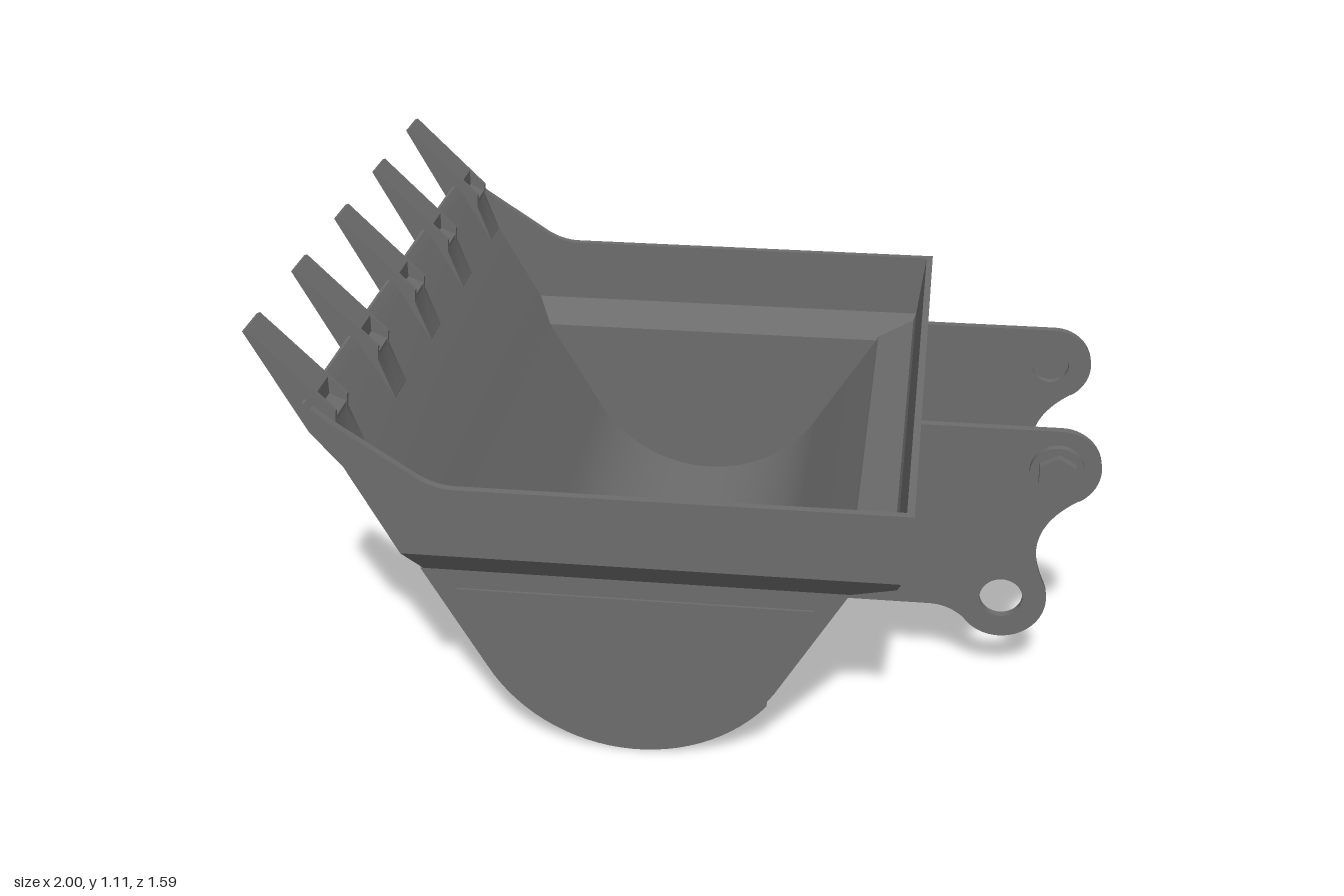
import * as THREE from 'three';
import { toCreasedNormals } from 'three/addons/utils/BufferGeometryUtils.js';

const CX = -0.115, CY = 0.418, R = 0.41;   // belly arc
const A0 = 208.4, A1 = 331.6;              // where the belly meets the straight walls
const T = 0.02;                            // plate thickness

const steel = new THREE.MeshStandardMaterial({ color: 0x6d6d6d });

// Half width of the bucket at height y: narrow belly, flared rim
const halfWidth = y => 0.742 + 0.055 * THREE.MathUtils.clamp((y - 0.49) / 0.07, 0, 1);

function arc(r, from, to, n = 28, cx = CX, cy = CY) {
  return Array.from({ length: n + 1 }, (_, i) => {
    const a = THREE.MathUtils.degToRad(from + (to - from) * i / n);
    return [cx + r * Math.cos(a), cy + r * Math.sin(a)];
  });
}

const toShape = pts => new THREE.Shape(pts.map(p => new THREE.Vector2(...p)));

// Extrude a shape in z, then move each z by a rule
function extrude(shape, depth, rule) {
  const g = new THREE.ExtrudeGeometry(shape, { depth, bevelEnabled: false, curveSegments: 24 });
  const p = g.attributes.position;
  for (let i = 0; i < p.count; i++) p.setZ(i, rule(p.getZ(i), p.getY(i)));
  return toCreasedNormals(g, 0.5);
}

function add(parent, name, geometry) {
  const mesh = new THREE.Mesh(geometry, steel);
  mesh.name = name;
  parent.add(mesh);
  return mesh;
}

function bracketShape() {
  const s = toShape([[0.235, 0.22], [0.59, 0.22]]);
  s.quadraticCurveTo(0.64, 0.22, 0.68, 0.185);
  arc(0.115, -145, 20, 24, 0.775, 0.25).forEach(p => s.lineTo(...p));
  s.bezierCurveTo(0.85, 0.36, 0.82, 0.46, 0.951, 0.546);
  arc(0.105, -58, 90, 24, 0.895, 0.633).forEach(p => s.lineTo(...p));
  s.lineTo(0.535, 0.738);
  s.lineTo(0.51, 0.535);
  s.lineTo(0.395, 0.49);
  for (const [x, y, r] of [[0.775, 0.25, 0.055], [0.89, 0.632, 0.05]]) {
    s.holes.push(new THREE.Path().absarc(x, y, r, 0, Math.PI * 2, true));
  }
  return s;
}

export function createModel() {
  const model = new THREE.Group();
  model.name = 'excavatorBucket';

  // Bent sheet, one piece per straight run of the half width
  const sheets = {
    frontLip: [[-0.87, 0.945], [-0.664, 0.56], [-0.643, 0.56], [-0.842, 0.92], [-0.863, 0.945]],
    frontFlare: [[-0.664, 0.56], [-0.627, 0.49], [-0.605, 0.49], [-0.643, 0.56]],
    belly: [[-0.627, 0.49], ...arc(R, A0, A1), [0.405, 0.49], [0.392, 0.49], ...arc(R - T, A1, A0), [-0.605, 0.49]],
    backFlare: [[0.405, 0.49], [0.515, 0.53], [0.525, 0.56], [0.507, 0.56], [0.5, 0.543], [0.398, 0.5], [0.392, 0.49]],
    backRim: [[0.525, 0.56], [0.548, 0.74], [0.53, 0.74], [0.507, 0.56]],
  };
  for (const [name, pts] of Object.entries(sheets)) {
    add(model, name, extrude(toShape(pts), 1, (z, y) => (2 * z - 1) * (halfWidth(y) - 0.001)));
  }

  // Side walls: belly, flare and rim, each following the half width
  const rim = toShape([[-0.664, 0.56], [0.525, 0.56], [0.548, 0.74], [-0.525, 0.74]]);
  rim.quadraticCurveTo(-0.58, 0.742, -0.625, 0.775);
  rim.lineTo(-0.79, 0.885);
  rim.lineTo(-0.87, 0.945);
  const wallShapes = {
    sideBelly: toShape([[-0.627, 0.49], ...arc(R, A0, A1), [0.405, 0.49]]),
    sideFlare: toShape([[-0.627, 0.49], [0.405, 0.49], [0.515, 0.53], [0.525, 0.56], [-0.664, 0.56]]),
    sideRim: rim,
  };
  const panel = toShape([[-0.545, 0.44], ...arc(0.365, A0, A1), [0.32, 0.44]]);
  for (const side of [1, -1]) {
    for (const [name, shape] of Object.entries(wallShapes)) {
      add(model, name, extrude(shape, T, (z, y) => side > 0 ? z + halfWidth(y) - T : z - halfWidth(y)));
    }
    add(model, 'sidePanel', extrude(panel, 0.008, z => z + (side > 0 ? 0.74 : -0.748)));
  }

  // Wear plates wrapped under the belly
  const wear = toShape([
    [-0.634, 0.488], ...arc(R + 0.008, A0, 321),
    ...arc(R - 0.008, 321, A0), [-0.615, 0.488],
  ]);
  for (const [from, to] of [[-0.741, -0.535], [-0.32, -0.107], [0.107, 0.32], [0.535, 0.741]]) {
    add(model, 'wearPlate', extrude(wear, to - from, z => z + from));
  }

  // Teeth clasping the lip: two cheeks and a core with a notch behind the blade
  const toothBase = [[-1, 1.11], [-0.866, 0.86], [-0.772, 0.75], [-0.763, 0.78], [-0.8, 0.885]];
  const cheek = toShape([...toothBase, [-0.797, 0.918], [-0.992, 1.113]]);
  const core = toShape([...toothBase, [-0.8, 0.9], [-0.84, 0.918], [-0.84, 0.961], [-0.992, 1.113]]);
  for (let i = -2; i <= 2; i++) {
    const tooth = new THREE.Group();
    tooth.name = 'tooth';
    tooth.position.z = i * 0.3615;
    add(tooth, 'toothCore', extrude(core, 0.081, z => z - 0.0405));
    add(tooth, 'toothCheek', extrude(cheek, 0.012, z => z + 0.0405));
    add(tooth, 'toothCheek', extrude(cheek, 0.012, z => z - 0.0525));
    model.add(tooth);
  }

  // Mounting brackets with washer and hexagonal bolt on the outer face
  for (const side of [1, -1]) {
    const bracket = new THREE.Group();
    bracket.name = 'mountingBracket';
    add(bracket, 'bracketPlate', extrude(bracketShape(), 0.021, z => z + (side > 0 ? 0.297 : -0.318)));
    for (const [name, r, sides, z, h] of [['washer', 0.068, 32, 0.327, 0.02], ['boltHead', 0.052, 6, 0.348, 0.026]]) {
      const g = new THREE.CylinderGeometry(r, r, h, sides).rotateX(Math.PI / 2);
      add(bracket, name, toCreasedNormals(g, 0.5)).position.set(0.89, 0.632, side * z);
    }
    model.add(bracket);
  }

  return model;
}
